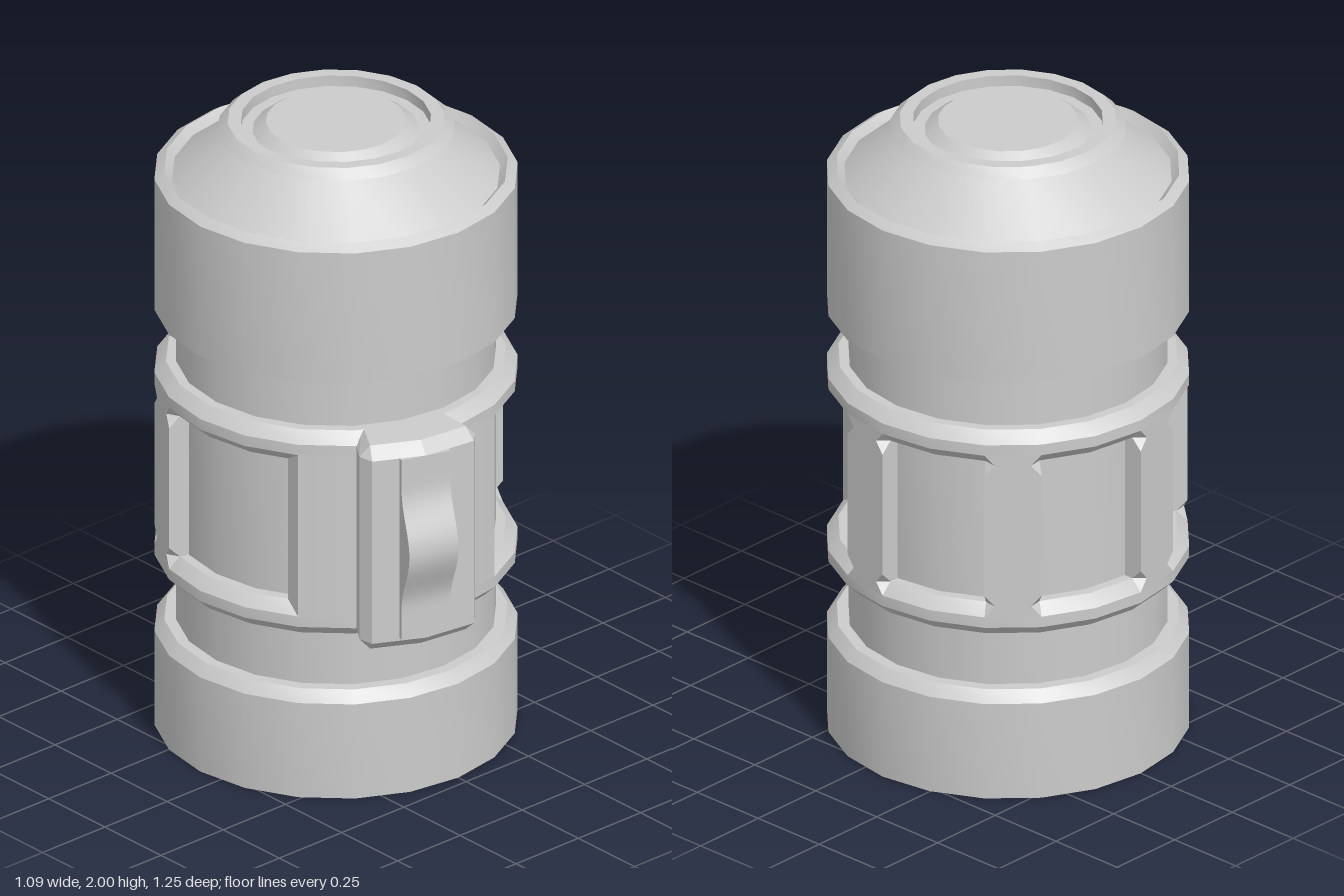
import * as THREE from 'three';
import { toCreasedNormals } from 'three/addons/utils/BufferGeometryUtils.js';
import { ConvexGeometry } from 'three/addons/geometries/ConvexGeometry.js';

const SIDES = 20, STEP = 360 / SIDES, R = 0.545;
const rad = THREE.MathUtils.degToRad;
const polar = (r, deg, y) => new THREE.Vector3(r * Math.cos(rad(deg)), y, r * Math.sin(rad(deg)));

// radius factor that keeps a point on the flat facets of the 20-sided body
const facet = (deg) => Math.cos(rad(STEP / 2)) / Math.cos(rad((deg % STEP) - STEP / 2));

// Solid from points given as [radius, angle, y], all on the facets of the body
const hull = (points) => toCreasedNormals(
  new ConvexGeometry(points.map(([r, a, y]) => polar(r * facet(a), a, y))), 0.4);

// Solids of one upright rib, one facet wide, with its four window corners nicked
function ribGeometries(start) {
  const inset = 3.3, IN = 0.47, mid = [];
  for (const y of [0.605, 1.145]) {
    for (const a of [start + inset, start + STEP - inset]) mid.push([R, a, y], [IN, a, y]);
  }
  const solids = [hull(mid)];
  for (const [edge, inner] of [[start, start + inset], [start + STEP, start + STEP - inset]]) {
    const flank = [];
    for (const [railY, nickY, ribY] of [[0.605, 0.64, 0.675], [1.145, 1.11, 1.075]]) {
      flank.push([R, edge, ribY], [0.51, edge, nickY], [IN, edge, nickY], [R, inner, nickY], [IN, inner, nickY]);
      solids.push(hull([[R, edge, railY], [0.51, edge, nickY], [0.51, edge, railY],
        [R, inner, nickY], [R, inner, railY], [0.51, inner, nickY]]));
    }
    solids.push(hull(flank));
  }
  return solids;
}

// Windowless section under the clip, bevelled down at both ends
function plainSectionGeometry() {
  const pts = [];
  for (const y of [0.6, 1.15]) {
    for (let a = 72; a <= 144; a += STEP) pts.push([R, a, y]);
    pts.push([0.51, 67.5, y], [0.46, 67.5, y], [0.51, 148.5, y], [0.46, 148.5, y]);
  }
  return hull(pts);
}

// Raised block spanning two facets, chamfered on every outer edge
function clipBlockGeometry() {
  const pts = [];
  for (const y of [0.57, 1.18]) {
    [[0.46, 90], [0.62, 90], [0.653, 93], [0.66, 108], [0.653, 122.5], [0.617, 125.5], [0.46, 125.5]]
      .forEach(([r, a]) => pts.push(polar(r, a, y)));
  }
  for (const y of [0.535, 1.215]) {
    [[0.46, 93], [0.615, 93], [0.622, 108], [0.615, 122.5], [0.46, 122.5]]
      .forEach(([r, a]) => pts.push(polar(r, a, y)));
  }
  return new ConvexGeometry(pts);
}

// Strap that swells outward at mid height
function clipStrapGeometry() {
  const shape = new THREE.Shape().moveTo(0.6, 0.58);
  const n = 24, width = 0.16;
  for (let i = 0; i <= n; i++) {
    const y = 0.58 + 0.6 * i / n;
    const t = Math.min(1, Math.abs(y - 0.88) / 0.2);
    shape.lineTo(0.66 + 0.058 * Math.cos(t * Math.PI / 2) ** 2, y);
  }
  shape.lineTo(0.6, 1.18);
  const g = new THREE.ExtrudeGeometry(shape, { depth: width, bevelEnabled: false });
  g.translate(0, 0, -width / 2);
  return toCreasedNormals(g, 0.5);
}

export function createModel() {
  const model = new THREE.Group();
  model.name = 'canister';
  const material = new THREE.MeshStandardMaterial({ color: 0xcccccc });
  const add = (name, geometry) => {
    const mesh = new THREE.Mesh(geometry, material);
    mesh.name = name;
    mesh.position.z = -0.08;
    model.add(mesh);
    return mesh;
  };
  const turned = (name, profile) => add(name, toCreasedNormals(
    new THREE.LatheGeometry(profile.map(([x, y]) => new THREE.Vector2(x, y)), SIDES), 0.4));

  // Base, neck and top, turned around one axis
  turned('base', [[0, 0], [R, 0], [R, 0.315], [0.515, 0.35], [0.47, 0.35]]);
  turned('neck', [[0.48, 0.34], [0.48, 1.4]]);
  turned('upperBody', [[0.47, 1.39], [R, 1.39], [R, 1.825], [0.515, 1.845], [0.492, 1.82]]);
  turned('shoulder', [[0.492, 1.82], [0.32, 1.955]]);
  turned('capRim', [[0.32, 1.955], [0.355, 1.972], [0.325, 2], [0.285, 2], [0.285, 1.965], [0.25, 1.965]]);
  turned('button', [[0.25, 1.965], [0.21, 1.995], [0, 1.995]]);

  // Grip band: two rails joined by ribs, with the neck showing through the windows
  const rail = [[0.47, 0.535], [0.51, 0.535], [R, 0.57], [R, 0.605], [0.51, 0.64], [0.47, 0.64]];
  turned('lowerRail', rail);
  turned('upperRail', rail.map(([r, y]) => [r, 1.75 - y]).reverse());
  for (const start of [0, 198, 252, 306]) ribGeometries(start).forEach((g) => add('rib', g));
  add('plainSection', plainSectionGeometry());

  // Clip on the plain section
  add('clipBlock', clipBlockGeometry());
  add('clipStrap', clipStrapGeometry()).rotation.y = rad(-108);

  return model;
}
